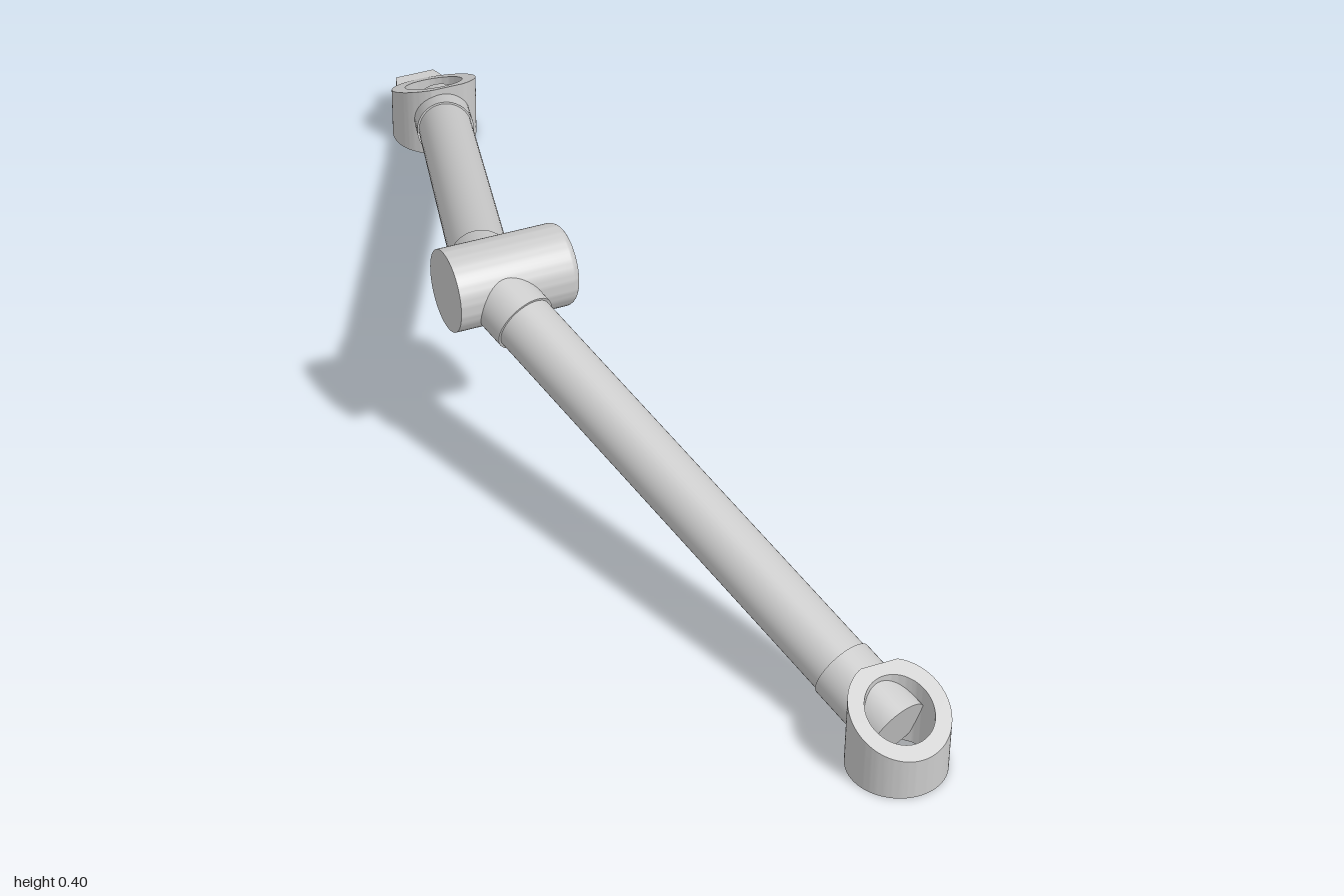
import * as THREE from 'three';
import { toCreasedNormals } from 'three/addons/utils/BufferGeometryUtils.js';

const V = (x, y, z) => new THREE.Vector3(x, y, z);
const material = new THREE.MeshStandardMaterial({ color: 0xcccccc });
const HUB = V(-0.138, 0.337, 0.02);

function part(name, geometry) {
  const mesh = new THREE.Mesh(geometry, material);
  mesh.name = name;
  return mesh;
}

// Cylinder between two points
function bar(name, a, b, radius) {
  const mesh = part(name, new THREE.CylinderGeometry(radius, radius, a.distanceTo(b), 48));
  mesh.position.copy(a).lerp(b, 0.5);
  mesh.quaternion.setFromUnitVectors(V(0, 1, 0), b.clone().sub(a).normalize());
  return mesh;
}

// Cross tube, flat on one end and rounded over on the other
function hub() {
  const r = 0.066, e = 0.016, half = 0.1;
  const profile = [new THREE.Vector2(0, -half), new THREE.Vector2(r, -half)];
  for (let i = 0; i <= 8; i++) {
    const a = (i / 8) * Math.PI / 2;
    profile.push(new THREE.Vector2(r - e + e * Math.cos(a), half - e + e * Math.sin(a)));
  }
  profile.push(new THREE.Vector2(0, half));
  const geometry = toCreasedNormals(new THREE.LatheGeometry(profile, 64), 0.6);
  geometry.rotateZ(-Math.PI / 2);
  const mesh = part('hub', geometry);
  mesh.position.set(-0.105, 0.336, 0.02);
  return mesh;
}

// Ring with a top face that slopes down away from the hub; dir is the z side it sits on
function clampRing(z, dir) {
  const shape = new THREE.Shape();
  shape.absarc(0, 0, 0.075, 0, Math.PI * 2, false);
  const hole = new THREE.Path();
  hole.absarc(0, 0, 0.051, 0, Math.PI * 2, true);
  shape.holes.push(hole);
  const geometry = new THREE.ExtrudeGeometry(shape, { depth: 1, bevelEnabled: false, curveSegments: 64 });
  geometry.rotateX(-Math.PI / 2);
  const p = geometry.attributes.position;
  for (let i = 0; i < p.count; i++) {
    const out = Math.max(p.getZ(i) * dir, -0.069); // flattened on the arm side
    p.setZ(i, out * dir);
    p.setY(i, p.getY(i) > 0.5 ? 0.104 - 0.45 * out : 0.003);
  }
  const mesh = part('clampRing', toCreasedNormals(geometry, 0.6));
  mesh.position.set(0.128, 0, z);
  return mesh;
}

// Tapered lug with a bolt hole, on the back clamp
function lug() {
  const shape = new THREE.Shape([[-0.05, 0.003], [0.05, 0.003], [0.05, 0.069], [-0.05, 0.069]]
    .map(([x, y]) => new THREE.Vector2(x, y)));
  const hole = new THREE.Path();
  hole.absarc(0, 0.038, 0.017, 0, Math.PI * 2, true);
  shape.holes.push(hole);
  const depth = 0.043;
  const geometry = new THREE.ExtrudeGeometry(shape, { depth, bevelEnabled: false, curveSegments: 24 });
  const p = geometry.attributes.position;
  for (let i = 0; i < p.count; i++) {
    if (p.getZ(i) < depth / 2) p.setX(i, p.getX(i) * 0.72);
  }
  const mesh = part('boltLug', toCreasedNormals(geometry, 0.6));
  mesh.position.set(0.128, 0, -1);
  return mesh;
}

// Arm from the hub to a clamp: two sleeves joined by a thinner rod
function arm(name, end, ringZ, dir) {
  const group = new THREE.Group();
  group.name = name;
  const at = (t) => HUB.clone().lerp(end, t);
  group.add(
    bar('hubSleeve', HUB, at(0.1), 0.051),
    bar('rod', at(0.1), at(0.86), 0.047),
    bar('clampSleeve', at(0.86), at(0.985), 0.05),
    clampRing(ringZ, dir)
  );
  return group;
}

export function createModel() {
  const model = new THREE.Group();
  model.name = 'linkageArm';
  const backArm = arm('backArm', V(0.138, 0.05, -0.9), -0.903, -1);
  backArm.add(lug());
  model.add(hub(), arm('frontArm', V(0.138, 0.05, 0.925), 0.925, 1), backArm);
  return model;
}
